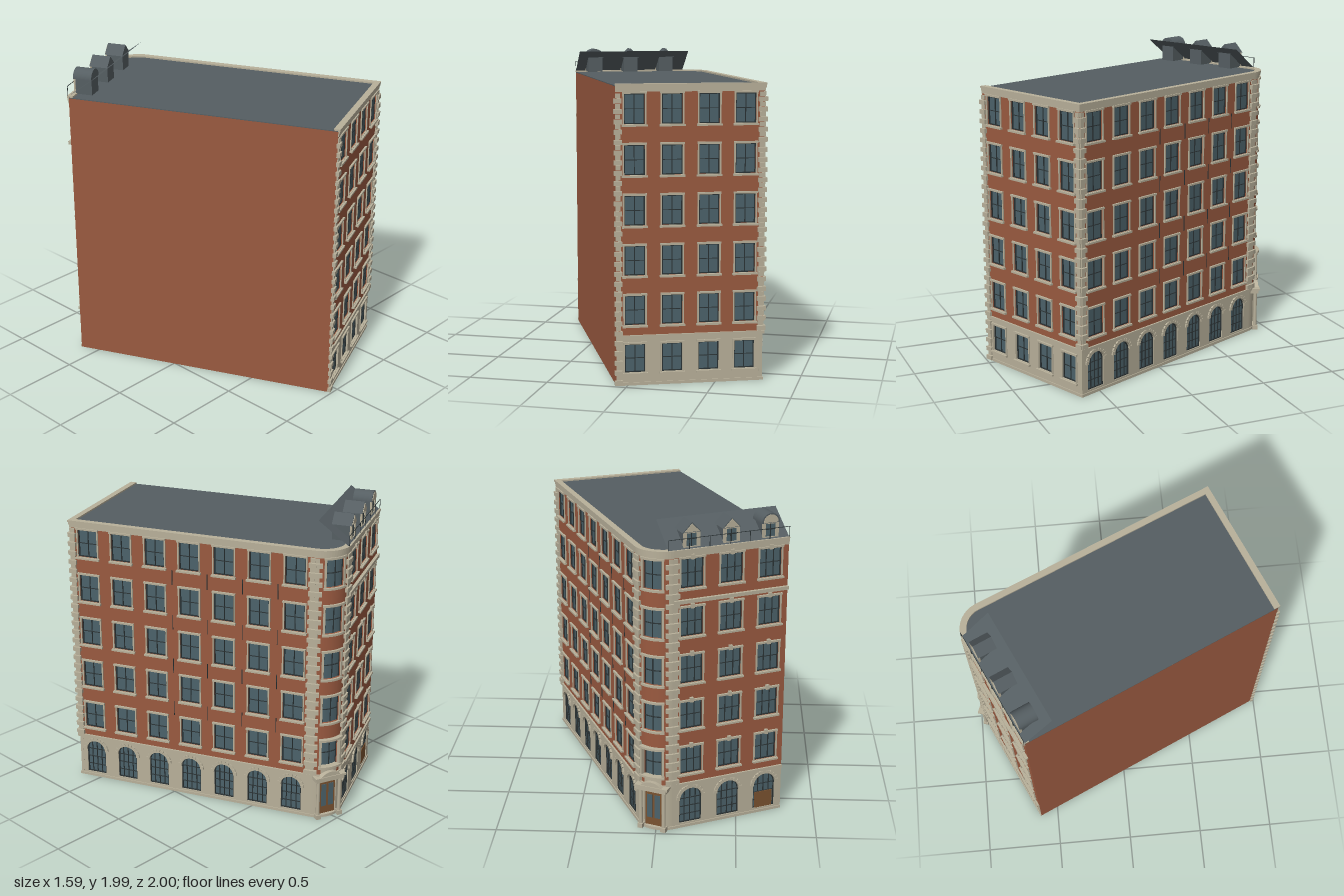
import * as THREE from 'three';

const mat = (color) => new THREE.MeshStandardMaterial({ color, side: THREE.DoubleSide });
const brick = mat(0x9a5a40), stone = mat(0xb8b09a), glass = mat(0x4c626a), iron = mat(0x2b3335);
const slate = mat(0x555e62), wood = mat(0x7a5230);
const V = (x, z) => new THREE.Vector2(x, z);

// Plan of the block: D front left, C front right, B rounded corner, A back
const A = V(-0.785, -0.618), B = V(0.046, -1.004), C = V(0.773, 0.638), D = V(-0.065, 0.978);
const R = 0.165;
const e1 = A.clone().sub(B).normalize(), e2 = C.clone().sub(B).normalize();
const P1 = B.clone().addScaledVector(e1, R), P2 = B.clone().addScaledVector(e2, R);
const O = B.clone().addScaledVector(e1, R).addScaledVector(e2, R);
const aR = Math.atan2(-e1.y, -e1.x), aB = Math.atan2(-e2.y, -e2.x), aM = (aR + aB) / 2;
const floors = [0, 1, 2, 3, 4].map((i) => 0.375 + 0.304 * i);
const WIN_H = 0.18, BASE = 0.305, TOP = 1.815;

function add(parent, geo, material, name, x = 0, y = 0, z = 0) {
  const m = new THREE.Mesh(geo, material);
  m.name = name;
  m.position.set(x, y, z);
  parent.add(m);
  return m;
}
const box = (p, w, h, d, material, name, x, y, z) => add(p, new THREE.BoxGeometry(w, h, d), material, name, x, y, z);
const extrude = (shape, depth) => new THREE.ExtrudeGeometry(shape, { depth, bevelEnabled: false, curveSegments: 14 });

// Upright prism over a plan outline
function prism(parent, pts, y0, y1, material, name) {
  const g = extrude(new THREE.Shape(pts), y1 - y0).rotateX(Math.PI / 2);
  return add(parent, g, material, name, 0, y1, 0);
}
function arc(r, a0, a1, n = 16) {
  return Array.from({ length: n + 1 }, (_, i) => {
    const a = a0 + ((a1 - a0) * i) / n;
    return V(O.x + r * Math.cos(a), O.y + r * Math.sin(a));
  });
}
const arcBand = (p, a0, a1, y0, y1, r0, r1, material, name) =>
  prism(p, [...arc(r1, a0, a1), ...arc(r0, a1, a0)], y0, y1, material, name);

// Street-side outline, offset outwards by o
function outline(o) {
  const n = (a, b) => V(-(b.y - a.y), b.x - a.x).normalize();
  const nF = n(D, C), nR = n(C, P2), nB = n(P1, A);
  return [D.clone().addScaledVector(nF, o), C.clone().addScaledVector(nF, o).addScaledVector(nR, o),
    ...arc(R + o, aR, aB), A.clone().addScaledVector(nB, o)];
}
const course = (p, y0, y1, out, name, inn = -0.02, material = stone) =>
  prism(p, [...outline(out), ...outline(inn).reverse()], y0, y1, material, name);

// Group whose x runs along a wall, with z pointing outwards
function wallFrame(parent, from, to, name) {
  const g = new THREE.Group();
  g.name = name;
  g.position.set(from.x, 0, from.y);
  g.rotation.y = Math.atan2(-(to.y - from.y), to.x - from.x);
  parent.add(g);
  return g;
}

// Rectangular or round-headed outline
function opening(x, y, w, h, arched, inset = 0) {
  const s = new THREE.Shape(), l = x - w / 2 + inset, r = x + w / 2 - inset;
  s.moveTo(l, y + inset);
  s.lineTo(r, y + inset);
  if (arched) {
    s.lineTo(r, y + h - w / 2);
    s.absarc(x, y + h - w / 2, w / 2 - inset, 0, Math.PI, false);
  } else {
    s.lineTo(r, y + h - inset);
    s.lineTo(l, y + h - inset);
  }
  s.closePath();
  return s;
}
function ring(outer, inner, depth) {
  outer.holes.push(inner);
  return extrude(outer, depth);
}

function addWindow(p, { x, y, w, h, arched, cols = 2, rows = 2, keystone, door }) {
  const g = new THREE.Group();
  g.name = arched ? 'archedWindow' : 'window';
  p.add(g);
  add(g, new THREE.ShapeGeometry(opening(x, y, w, h, arched)), glass, 'pane', 0, 0, -0.014);
  add(g, ring(opening(x, y, w, h, arched), opening(x, y, w, h, arched, 0.006), 0.008), iron, 'sash', 0, 0, -0.014);
  for (let i = 1; i < cols; i++) {
    const dx = (i / cols - 0.5) * w;
    const bh = arched ? h - w / 2 + Math.sqrt(w * w / 4 - dx * dx) : h;
    box(g, 0.005, bh, 0.006, iron, 'mullion', x + dx, y + bh / 2, -0.011);
  }
  for (let i = 1; i < rows; i++) box(g, w, 0.004, 0.006, iron, 'glazingBar', x, y + ((arched ? h - w / 2 : h) * i) / (arched ? rows - 1 : rows), -0.011);
  if (door) box(g, w * 0.8, 0.11, 0.01, wood, 'door', x, y + 0.055, -0.008);
  if (arched) {
    // Voussoirs around the arch
    for (let i = 0; i < 11; i++) {
      const a = (Math.PI * (i + 0.5)) / 11, r = w / 2 + 0.011;
      box(g, 0.022, (r * Math.PI) / 11 - 0.002, 0.014, stone, 'voussoir', x + r * Math.cos(a), y + h - w / 2 + r * Math.sin(a), 0.004).rotation.z = a;
    }
  } else {
    add(g, ring(opening(x, y, w, h, false, -0.009), opening(x, y, w, h), 0.007), stone, 'surround');
    box(g, w + 0.03, 0.012, 0.022, stone, 'sill', x, y - 0.008, 0.008);
    box(g, w + 0.022, 0.012, 0.014, stone, 'lintel', x, y + h + 0.008, 0.006);
    if (keystone) box(g, 0.022, 0.03, 0.018, stone, 'keystone', x, y + h + 0.012, 0.008);
  }
}

function facade(parent, name, from, to, xs, w, ground, opts = {}) {
  const g = wallFrame(parent, from, to, name), len = from.distanceTo(to);
  const upper = [];
  for (const y of floors) for (const x of xs) upper.push({ x, y, w, h: WIN_H, ...opts });
  const lower = xs.map((x, i) => ({ x, ...ground, door: opts.keystone && i === 2 }));
  for (const [y0, y1, list, m, part] of [[0, BASE, lower, stone, 'groundStorey'], [BASE, TOP, upper, brick, 'brickWall']]) {
    const s = opening(len / 2, y0, len, y1 - y0);
    for (const o of list) s.holes.push(opening(o.x, o.y, o.w, o.h, o.arched));
    add(g, extrude(s, 0.02), m, part, 0, 0, -0.02);
    for (const o of list) addWindow(g, o);
  }
  return g;
}

// Alternating long and short corner stones
function quoins(g, x, dir, y0 = 0.33) {
  for (let y = y0, i = 0; y < 1.77; y += 0.0305, i++) {
    const w = i % 2 ? 0.03 : 0.048, d = i % 2 ? 0.012 : 0.022;
    box(g, w, 0.028, d, stone, 'quoin', x + dir * (w / 2 - (i % 2 ? 0 : 0.01)), y, d / 2 - 0.004);
  }
}

export function createModel() {
  const model = new THREE.Group();
  model.name = 'cornerBuilding';

  // Three street walls
  const front = facade(model, 'frontWall', D, C, [0.115, 0.343, 0.568, 0.79], 0.125, { y: 0.08, w: 0.125, h: 0.175 });
  const sideXs = [0, 1, 2, 3, 4, 5, 6].map((i) => 0.118 + 0.2315 * i);
  const arch = { y: 0.03, h: 0.24, w: 0.135, arched: true, cols: 4, rows: 4 };
  const side = facade(model, 'rightWall', C, P2, sideXs, 0.132, arch);
  const back = facade(model, 'backWall', P1, A, [0.121, 0.376, 0.631], 0.145, { ...arch, w: 0.15 }, { cols: 3, keystone: true });
  const lenF = D.distanceTo(C), lenS = C.distanceTo(P2), lenB = P1.distanceTo(A);
  quoins(front, 0, 1, 0.02);
  quoins(front, lenF, -1);
  quoins(side, 0, 1);
  quoins(side, lenS, -1);
  quoins(back, 0, 1);
  for (const x of [0.698, 0.933, 1.168, 1.398]) for (const y of floors.slice(0, 4))
    box(side, 0.004, 0.1, 0.004, iron, 'wallJoint', x, y + WIN_H + 0.065, 0.001);
  box(back, lenB, 0.022, 0.03, stone, 'upperStringCourse', lenB / 2, 1.51, 0.005);

  // Blank party wall
  const party = wallFrame(model, A, D, 'partyWall');
  const lenP = A.distanceTo(D);
  box(party, lenP, TOP, 0.016, brick, 'brickWall', lenP / 2, TOP / 2, -0.008);

  // Rounded corner with a window on each floor
  const corner = new THREE.Group();
  corner.name = 'roundedCorner';
  model.add(corner);
  const half = 0.36;
  for (const [y0, y1, m] of [[0, BASE, stone], [BASE, TOP, brick]]) {
    arcBand(corner, aR, aM + half, y0, y1, R - 0.02, R, m, 'curvedWall');
    arcBand(corner, aM - half, aB, y0, y1, R - 0.02, R, m, 'curvedWall');
  }
  const gaps = [0.26, ...floors.flatMap((y) => [y, y + WIN_H]), TOP];
  for (let i = 0; i < gaps.length; i += 2) arcBand(corner, aM + half, aM - half, gaps[i], gaps[i + 1], R - 0.02, R, i ? brick : stone, 'spandrel');
  floors.forEach((y, f) => {
    const out = f ? 0.008 : 0.024;
    arcBand(corner, aM + half, aM - half, y, y + WIN_H, R - 0.018, R - 0.014, glass, 'curvedPane');
    for (const [a, h] of [[0, 0.015], [half, 0.02], [-half, 0.02]])
      arcBand(corner, aM + a + h, aM + a - h, y, y + WIN_H, R - 0.014, R - 0.008, iron, 'mullion');
    arcBand(corner, aM + half, aM - half, y + 0.088, y + 0.093, R - 0.014, R - 0.008, iron, 'glazingBar');
    for (const s of [-1, 1]) arcBand(corner, aM + s * half, aM + s * (half + 0.08), y, y + WIN_H, R, R + out, stone, 'jamb');
    for (const yy of [y - 0.014, y + WIN_H]) arcBand(corner, aM + half + 0.1, aM - half - 0.1, yy, yy + 0.014, R, R + out + 0.006, stone, 'sillOrLintel');
  });
  for (let y = 0.33, i = 0; y < 1.77; y += 0.0305, i++) {
    const a = i % 2 ? 0.16 : 0.27;
    arcBand(corner, aR, aR - a, y - 0.014, y + 0.014, R, R + (i % 2 ? 0.008 : 0.018), stone, 'quoin');
    arcBand(corner, aB, aB + a, y - 0.014, y + 0.014, R, R + (i % 2 ? 0.008 : 0.018), stone, 'quoin');
  }

  // Corner entrance: door, columns, canopy with rounded pediment
  const apex = V(O.x + R * Math.cos(aM), O.y + R * Math.sin(aM));
  const entrance = wallFrame(model, apex, V(apex.x - Math.sin(aM) * -1 * -1, apex.y + Math.cos(aM)), 'entrance');
  entrance.rotation.y = Math.atan2(Math.cos(aM), Math.sin(aM));
  box(entrance, 0.12, 0.26, 0.01, wood, 'door', 0, 0.13, -0.022);
  for (const s of [-1, 1]) {
    box(entrance, 0.035, 0.16, 0.004, glass, 'doorPane', s * 0.026, 0.15, -0.016);
    add(entrance, new THREE.CylinderGeometry(0.011, 0.013, 0.27, 12), stone, 'column', s * 0.078, 0.145, 0.004);
    box(entrance, 0.034, 0.03, 0.036, stone, 'columnBase', s * 0.078, 0.015, 0.004);
  }
  box(entrance, 0.2, 0.022, 0.075, stone, 'architrave', 0, 0.281, -0.014);
  box(entrance, 0.22, 0.014, 0.085, stone, 'canopy', 0, 0.299, -0.012);
  const ped = new THREE.Shape();
  ped.moveTo(-0.07, 0);
  ped.quadraticCurveTo(0, 0.06, 0.07, 0);
  add(entrance, extrude(ped, 0.05), stone, 'pediment', 0, 0.306, -0.025);

  // Plinth, string course and stepped cornice
  course(model, 0, 0.018, 0.006, 'plinth');
  course(model, 0.292, 0.312, 0.012, 'stringCourse');
  course(model, 1.782, 1.8, 0.005, 'frieze');
  course(model, 1.8, 1.817, 0.009, 'lowerCornice');
  course(model, 1.817, 1.83, 0.013, 'upperCornice', -0.028);
  prism(model, outline(-0.001), 1.806, 1.82, slate, 'flatRoof');

  // Sloping roof screen above the back wall, with dormers and a guard rail
  const slope = new THREE.PlaneGeometry(0.78, 0.236).rotateX(-Math.atan2(0.19, 0.14));
  add(back, slope, slate, 'roofSlope', 0.36, 1.9, -0.095);
  [0.121, 0.376, 0.631].forEach((x, i) => {
    const d = new THREE.Group();
    d.name = 'dormer';
    d.position.set(x, 1.825, -0.02);
    back.add(d);
    box(d, 0.1, 0.1, 0.11, slate, 'dormerBody', 0, 0.05, -0.055);
    add(d, ring(opening(0, 0, 0.106, 0.105), opening(0, 0.015, 0.066, 0.08), 0.012), stone, 'dormerFront');
    add(d, new THREE.ShapeGeometry(opening(0, 0.015, 0.066, 0.08)), glass, 'dormerPane', 0, 0, 0.004);
    box(d, 0.005, 0.08, 0.006, iron, 'dormerMullion', 0, 0.055, 0.006);
    box(d, 0.066, 0.004, 0.006, iron, 'dormerBar', 0, 0.06, 0.006);
    const roof = new THREE.Shape();
    roof.moveTo(-0.06, 0);
    roof.lineTo(0.06, 0);
    if (i === 2) roof.absarc(0, 0, 0.06, 0, Math.PI, false);
    else roof.lineTo(0, 0.062);
    add(d, extrude(roof, 0.125), slate, 'dormerRoof', 0, 0.1, -0.112);
    roof.closePath();
    add(d, extrude(roof, 0.004).scale(0.8, 0.8, 1), stone, 'dormerGable', 0, 0.104, 0.013);
  });
  box(back, 0.78, 0.003, 0.003, iron, 'guardRail', 0.36, 1.895, 0.006);
  for (let i = 0; i < 7; i++) box(back, 0.003, 0.066, 0.003, iron, 'railPost', -0.03 + 0.13 * i, 1.862, 0.006);

  return model;
}
